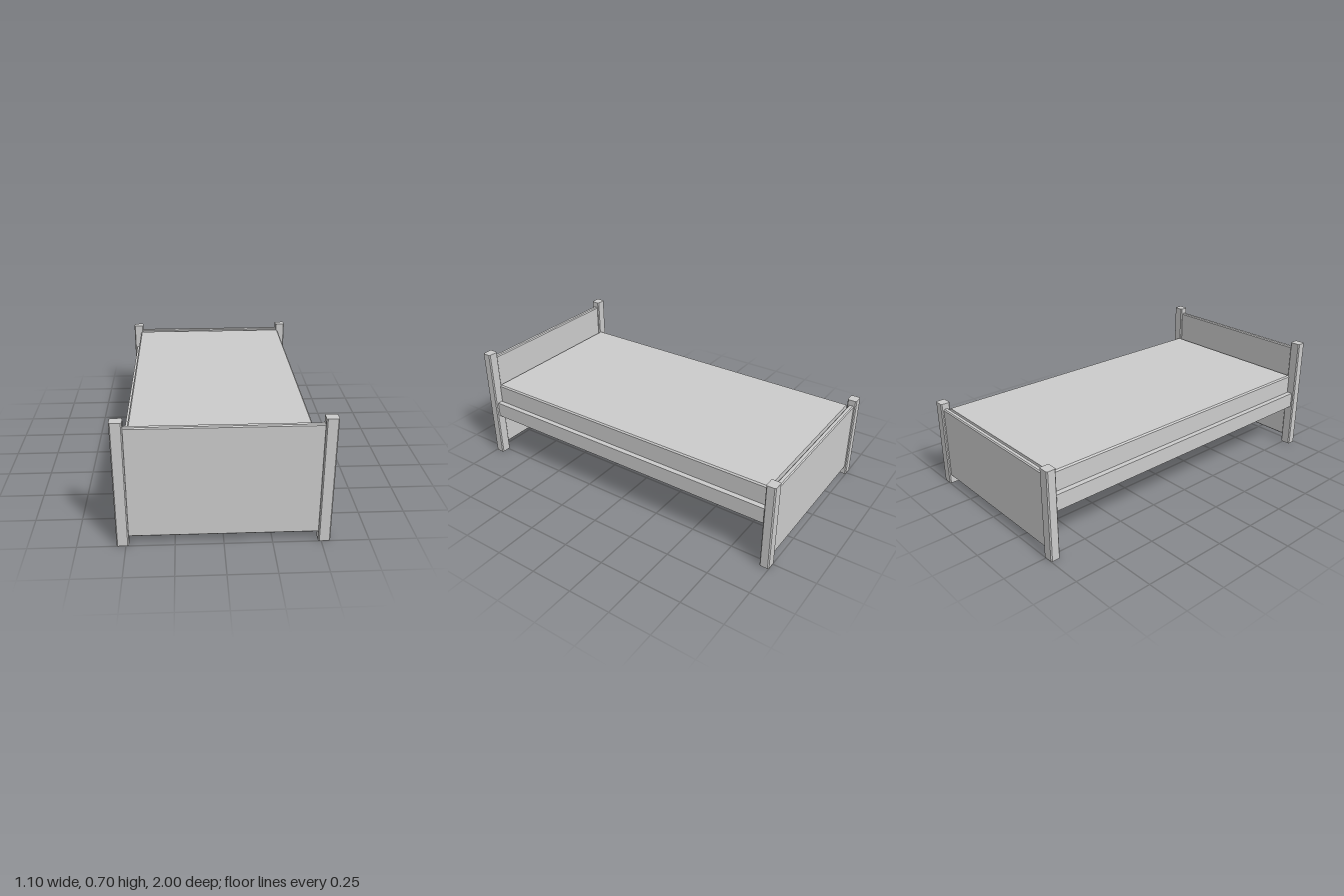
import * as THREE from 'three';

const material = new THREE.MeshStandardMaterial({ color: 0xcccccc, flatShading: true });

// Bar of the given length along z, with its four long edges chamfered by c
function chamferedBar(w, h, length, c) {
  const x = w / 2, y = h / 2;
  const corners = [
    [x - c, -y], [x, -y + c], [x, y - c], [x - c, y],
    [-x + c, y], [-x, y - c], [-x, -y + c], [-x + c, -y],
  ];
  const shape = new THREE.Shape(corners.map(([a, b]) => new THREE.Vector2(a, b)));
  return new THREE.ExtrudeGeometry(shape, { depth: length, bevelEnabled: false })
    .translate(0, 0, -length / 2);
}

function part(name, geometry, x, y, z) {
  const mesh = new THREE.Mesh(geometry, material);
  mesh.name = name;
  mesh.position.set(x, y, z);
  return mesh;
}

// Two posts with a panel between them; dir is +1 at the front, -1 at the back
function endBoard(name, height, dir) {
  const group = new THREE.Group();
  group.name = name;
  for (const side of [1, -1]) {
    const post = chamferedBar(0.063, 0.055, height, 0.006).rotateX(-Math.PI / 2);
    group.add(part(side > 0 ? 'leftPost' : 'rightPost', post, side * 0.516, height / 2, dir * 0.9725));
  }
  const bottom = 0.047, top = height - 0.034;
  const panel = chamferedBar(0.03, top - bottom, 0.98, 0.006).rotateY(Math.PI / 2);
  group.add(part('panel', panel, 0, (top + bottom) / 2, dir * 0.972));
  return group;
}

export function createModel() {
  const bed = new THREE.Group();
  bed.name = 'bed';

  // Tall headboard at the front, lower footboard at the back
  bed.add(endBoard('headboard', 0.697, 1));
  bed.add(endBoard('footboard', 0.518, -1));

  // Side rails running between the posts
  for (const side of [1, -1]) {
    const rail = new THREE.BoxGeometry(0.03, 0.092, 1.9);
    bed.add(part(side > 0 ? 'leftRail' : 'rightRail', rail, side * 0.516, 0.314, 0));
  }

  // Mattress resting between the rails
  bed.add(part('mattress', chamferedBar(1.0, 0.185, 1.88, 0.008), 0, 0.3825, 0));

  return bed;
}
